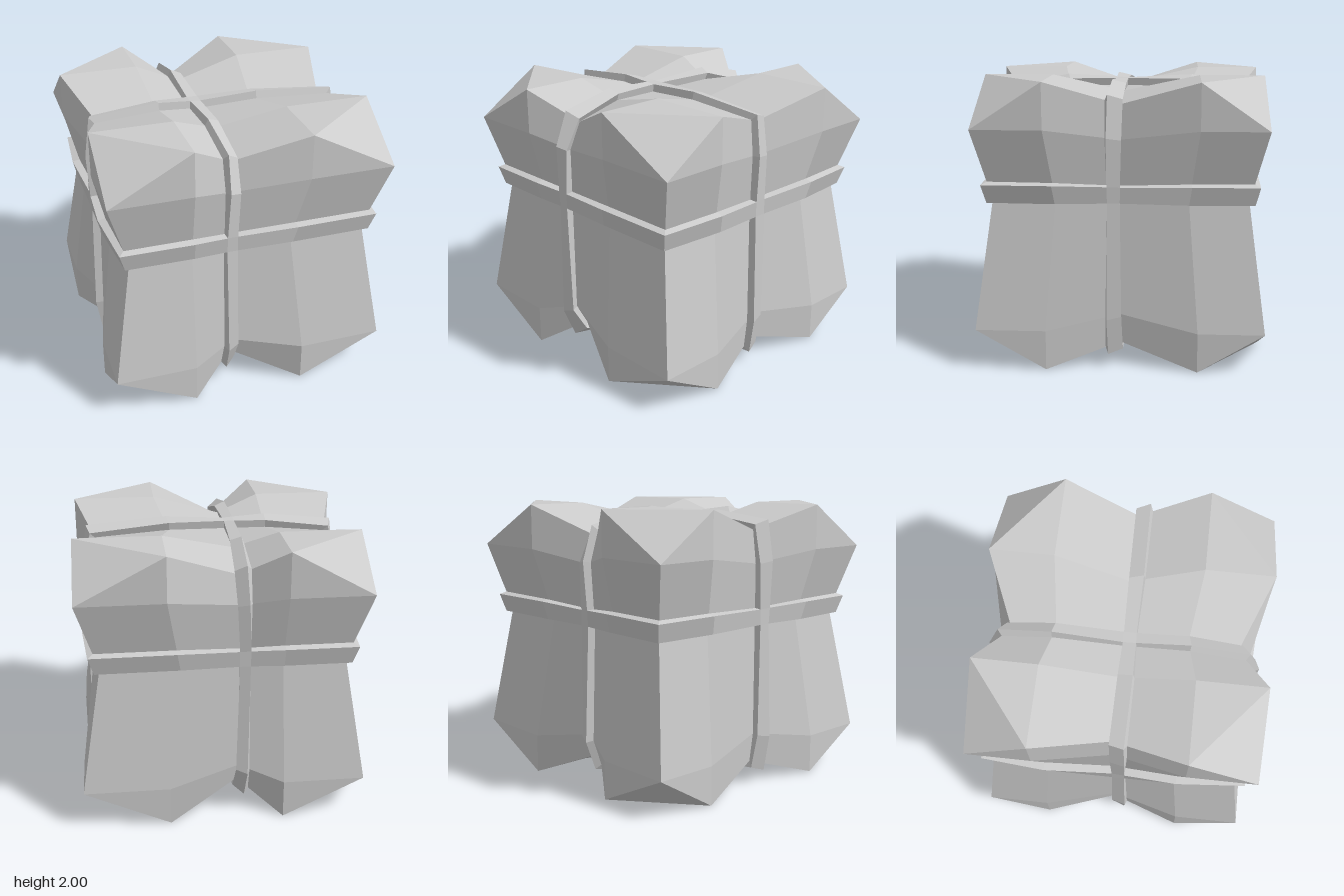
import * as THREE from 'three';

// Control grid per axis (x, y, z), measured from the block's centre: index 2 is the pinched line
const GRID = [[-1, -0.42, -0.105, 0.39, 1], [-1, -0.72, 0.18, 0.68, 1], [-1, -0.54, 0, 0.51, 1]];
// The lines beside a pinch are drawn in slightly
const DRAWN = [[-1, -0.41, -0.105, 0.305, 1], [-1, -0.625, 0.18, 0.605, 1], [-1, -0.47, 0, 0.44, 1]];
// Half extents of an edge where it is pinched, by the axis it runs along
const EDGE = [[0, 0.79, 0.79], [0.85, 0, 0.88], [0.85, 0.84, 0]];
// Depth of the pinched lines on the six sides
const SIDE = 0.88;
// Grid lines used, with the far side of each strap as a fractional index
const LINES = [[0, 1, 1.75, 2, 3, 4], [0, 1, 2, 2.26, 3, 4], [0, 1, 2, 2.2, 3, 4]];
const STRAP_CELL = [2, 2, 2];
const THICKNESS = 0.056;

const isEnd = i => i === 0 || i === 4;

// Position of a surface grid point; fractional indices interpolate between neighbours
function point(idx) {
  const f = idx.findIndex(i => i % 1 !== 0);
  if (f >= 0) {
    const lo = [...idx], hi = [...idx];
    lo[f] = Math.floor(idx[f]);
    hi[f] = lo[f] + 1;
    return point(lo).lerp(point(hi), idx[f] - lo[f]);
  }
  const pinched = idx.includes(2);
  const onEdge = idx.filter(isEnd).length === 2;
  return new THREE.Vector3(...idx.map((i, a) => {
    if (!pinched || i === 2) return GRID[a][i];
    if (!isEnd(i)) return DRAWN[a][i];
    return Math.sign(i - 2) * (onEdge ? EDGE[idx.indexOf(2)][a] : SIDE);
  }));
}

// Outward normal of a polygon with three or four points
function normalOf(p) {
  const last = p.length - 1;
  return p[2].clone().sub(p[0]).cross(p[last].clone().sub(p[1 % last])).normalize();
}

function polygonNormal(p) {
  if (p.length === 4) return normalOf(p);
  return p[1].clone().sub(p[0]).cross(p[2].clone().sub(p[0])).normalize();
}

// Mesh of flat-looking polygons; four-sided ones fold along their inner diagonal
function facetMesh(name, polygons) {
  const pos = [], nor = [];
  for (const p of polygons) {
    const n = polygonNormal(p);
    let q = p;
    if (p.length === 4 && p[0].dot(n) + p[2].dot(n) > p[1].dot(n) + p[3].dot(n)) {
      q = [p[1], p[2], p[3], p[0]];
    }
    for (let i = 1; i < q.length - 1; i++) {
      for (const v of [q[0], q[i], q[i + 1]]) {
        pos.push(v.x, v.y, v.z);
        nor.push(n.x, n.y, n.z);
      }
    }
  }
  const geo = new THREE.BufferGeometry();
  geo.setAttribute('position', new THREE.Float32BufferAttribute(pos, 3));
  geo.setAttribute('normal', new THREE.Float32BufferAttribute(nor, 3));
  const mesh = new THREE.Mesh(geo, new THREE.MeshStandardMaterial({ color: 0xcccccc }));
  mesh.name = name;
  mesh.position.y = 1;
  return mesh;
}

// All cells of the six sides, as loops of grid indices, outward facing
function makeCells() {
  const cells = [];
  for (let a = 0; a < 3; a++) {
    const u = (a + 1) % 3, v = (a + 2) % 3;
    for (const end of [0, 4]) {
      for (let i = 0; i < 5; i++) {
        for (let j = 0; j < 5; j++) {
          let loop = [[0, 0], [1, 0], [1, 1], [0, 1]].map(([du, dv]) => {
            const idx = [0, 0, 0];
            idx[a] = end;
            idx[u] = LINES[u][i + du];
            idx[v] = LINES[v][j + dv];
            return idx;
          });
          loop = loop.filter(idx => !idx.every(isEnd)); // cut corners
          if (end === 0) loop.reverse();
          cells.push({ loop, strap: i === STRAP_CELL[u] || j === STRAP_CELL[v] });
        }
      }
    }
  }
  return cells;
}

// Raised band over the strap cells, with walls along its borders
function makeStraps(cells) {
  const normals = new Map(), edges = new Set(), polygons = [];
  for (const { loop } of cells) {
    const n = polygonNormal(loop.map(point));
    loop.forEach((idx, k) => {
      const key = String(idx);
      if (!normals.has(key)) normals.set(key, new THREE.Vector3());
      normals.get(key).add(n);
      edges.add(key + '>' + loop[(k + 1) % 4]);
    });
  }
  const raised = idx => {
    const n = normals.get(String(idx)).clone().normalize();
    return point(idx).addScaledVector(n, THICKNESS);
  };
  for (const { loop } of cells) {
    polygons.push(loop.map(raised));
    loop.forEach((idx, k) => {
      const next = loop[(k + 1) % 4];
      if (!edges.has(next + '>' + idx)) polygons.push([point(idx), point(next), raised(next), raised(idx)]);
    });
  }
  return facetMesh('straps', polygons);
}

export function createModel() {
  const group = new THREE.Group();
  group.name = 'strappedBlock';
  const cells = makeCells();

  // Block sides
  const sides = cells.map(c => c.loop.map(point));

  // Triangular facets across the eight corners
  for (const x of [0, 4]) for (const y of [0, 4]) for (const z of [0, 4]) {
    const corner = [x, y, z];
    const tri = [0, 1, 2].map(a => {
      const idx = [...corner];
      idx[a] = corner[a] ? 3 : 1;
      return point(idx);
    });
    if ((x - 2) * (y - 2) * (z - 2) < 0) tri.reverse();
    sides.push(tri);
  }
  group.add(facetMesh('block', sides));

  // Three crossing straps around the block
  group.add(makeStraps(cells.filter(c => c.strap)));
  return group;
}
